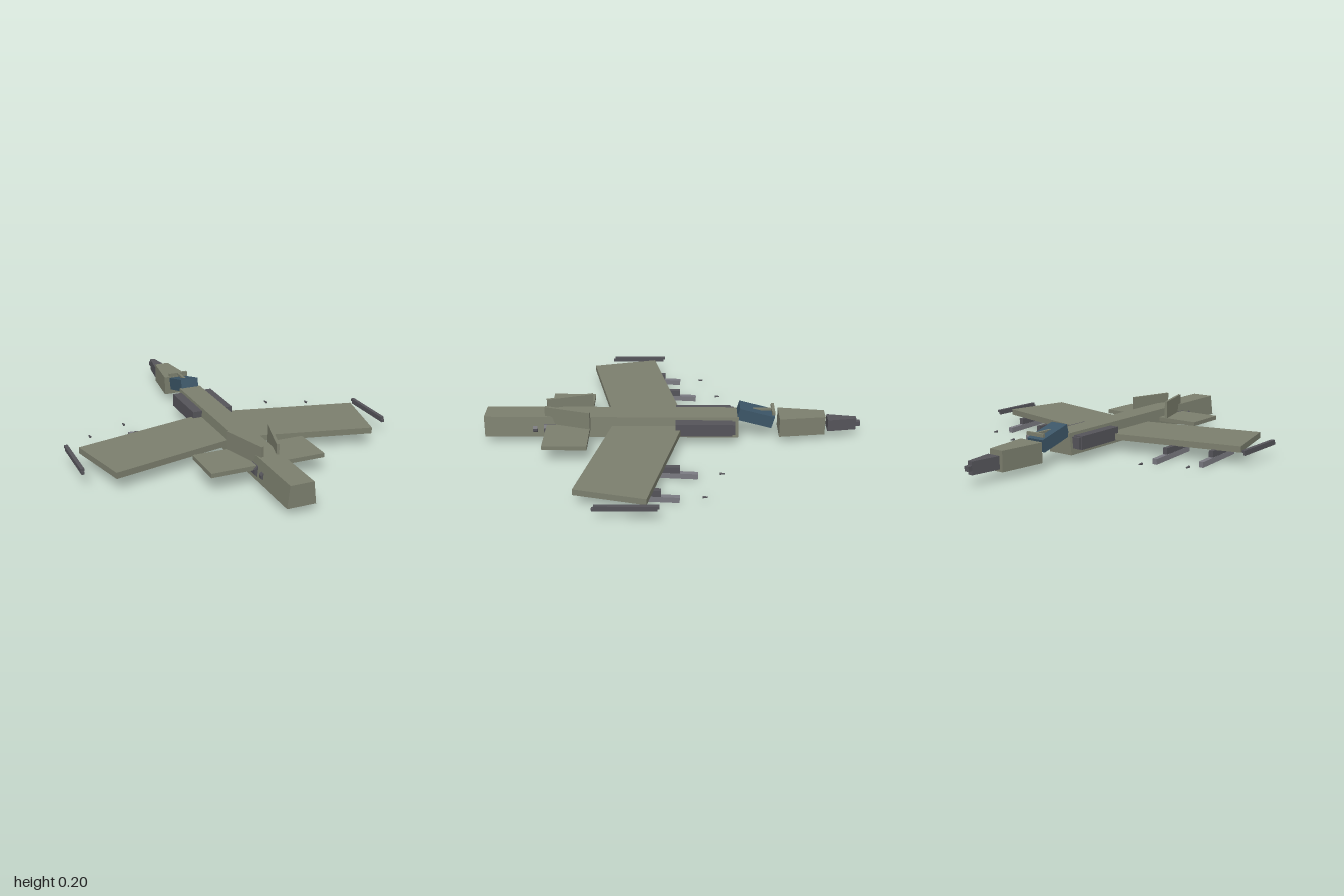
import * as THREE from 'three';

const mat = (color) => new THREE.MeshStandardMaterial({ color, flatShading: true });
const OLIVE = mat(0x7c7f6e), DARK = mat(0x55545a), GREY = mat(0x7b7b82), GLASS = mat(0x3c5668);

export function createModel() {
  const model = new THREE.Group();

  const add = (name, geo, material) => {
    const mesh = new THREE.Mesh(geo, material);
    mesh.name = name;
    model.add(mesh);
    return mesh;
  };
  // Box given by its min/max on each axis
  const box = (name, x0, x1, y0, y1, z0, z1, material) => {
    const m = add(name, new THREE.BoxGeometry(Math.abs(x1 - x0), y1 - y0, z1 - z0), material);
    m.position.set((x0 + x1) / 2, (y0 + y1) / 2, (z0 + z1) / 2);
    return m;
  };
  // Plan outline of [x, z] points, raised from y0 to y1
  const slab = (name, pts, y0, y1, material) => {
    const shape = new THREE.Shape(pts.map(([x, z]) => new THREE.Vector2(x, -z)));
    const geo = new THREE.ExtrudeGeometry(shape, { depth: y1 - y0, bevelEnabled: false });
    geo.rotateX(-Math.PI / 2);
    geo.translate(0, y0, 0);
    return add(name, geo, material);
  };

  // Fuselage: trapezoid section, wider at the bottom
  const section = new THREE.Shape([[-0.073, 0.035], [0.073, 0.035], [0.06, 0.147], [-0.06, 0.147]]
    .map(([x, y]) => new THREE.Vector2(x, y)));
  const body = new THREE.ExtrudeGeometry(section, { depth: 1.348, bevelEnabled: false });
  body.translate(0, 0, -0.348);
  add('fuselage', body, OLIVE);

  // Nose, radome and tip
  slab('nose', [[-0.07, -0.565], [0.07, -0.565], [0.04, -0.81], [-0.04, -0.81]], 0.038, 0.142, OLIVE);
  slab('noseCone', [[-0.037, -0.825], [0.037, -0.825], [0.013, -0.978], [-0.013, -0.978]], 0.055, 0.12, DARK);
  box('noseTip', -0.013, 0.013, 0.075, 0.1, -1, -0.975, DARK);

  // Tilted canopy with its frame
  const canopy = add('canopy', new THREE.BoxGeometry(0.1, 0.067, 0.192), GLASS);
  canopy.position.set(0, 0.137, -0.439);
  canopy.rotation.x = -0.26;
  box('canopySpine', -0.007, 0.007, 0.163, 0.175, -0.535, -0.425, OLIVE);
  box('canopyBow', -0.055, 0.055, 0.158, 0.175, -0.541, -0.525, OLIVE);

  for (const s of [1, -1]) {
    const side = s > 0 ? 'left' : 'right';

    // Intakes
    box(side + 'Intake', s * 0.05, s * 0.113, 0.062, 0.132, -0.315, -0.015, DARK);
    box(side + 'IntakeLip', s * 0.055, s * 0.108, 0.068, 0.126, -0.33, -0.315, DARK);

    // Swept wing, tailplane and toed fin
    slab(side + 'Wing', [[0, -0.066], [s * 0.777, 0.116], [s * 0.694, 0.47], [0, 0.307]], 0.066, 0.098, OLIVE);
    box(side + 'Tailplane', 0, s * 0.3, 0.083, 0.105, 0.437, 0.668, OLIVE);
    const fin = add(side + 'Fin', new THREE.BoxGeometry(0.014, 0.098, 0.252), OLIVE);
    fin.position.set(s * 0.077, 0.151, 0.555);
    fin.rotation.y = -s * 0.28;

    // Exhaust nozzles
    for (const [name, r, z, len] of [['Nozzle', 0.032, 0.637, 0.09], ['NozzleRing', 0.02, 0.73, 0.024]]) {
      const nozzle = add(side + name, new THREE.CylinderGeometry(r, r, len, 8), DARK);
      nozzle.geometry.rotateY(Math.PI / 8).rotateX(Math.PI / 2);
      nozzle.position.set(s * (name === 'Nozzle' ? 0.054 : 0.06), 0.077, z);
    }

    // Pylons carrying slightly nose-down stores, with a small cone ahead
    for (const [x, z] of [[0.43, 0.022], [0.645, 0.112]]) {
      box(side + 'Pylon', s * x - 0.012, s * x + 0.012, 0.035, 0.068, z - 0.06, z + 0.12, DARK);
      const store = add(side + 'Store', new THREE.BoxGeometry(0.025, 0.029, 0.3), GREY);
      store.position.set(s * x, 0.0215, z);
      store.rotation.x = -0.045;
      const cone = add(side + 'StoreTip', new THREE.CylinderGeometry(0.003, 0.007, 0.026, 6), DARK);
      cone.geometry.rotateX(-Math.PI / 2);
      cone.position.set(s * x, 0.027, z - 0.272);
    }

    // Wing tip rail and missile
    box(side + 'TipRail', s * 0.818, s * 0.837, 0.083, 0.096, 0.055, 0.36, DARK);
    box(side + 'TipMissile', s * 0.82, s * 0.835, 0.069, 0.083, 0.065, 0.37, DARK);
  }

  return model;
}
